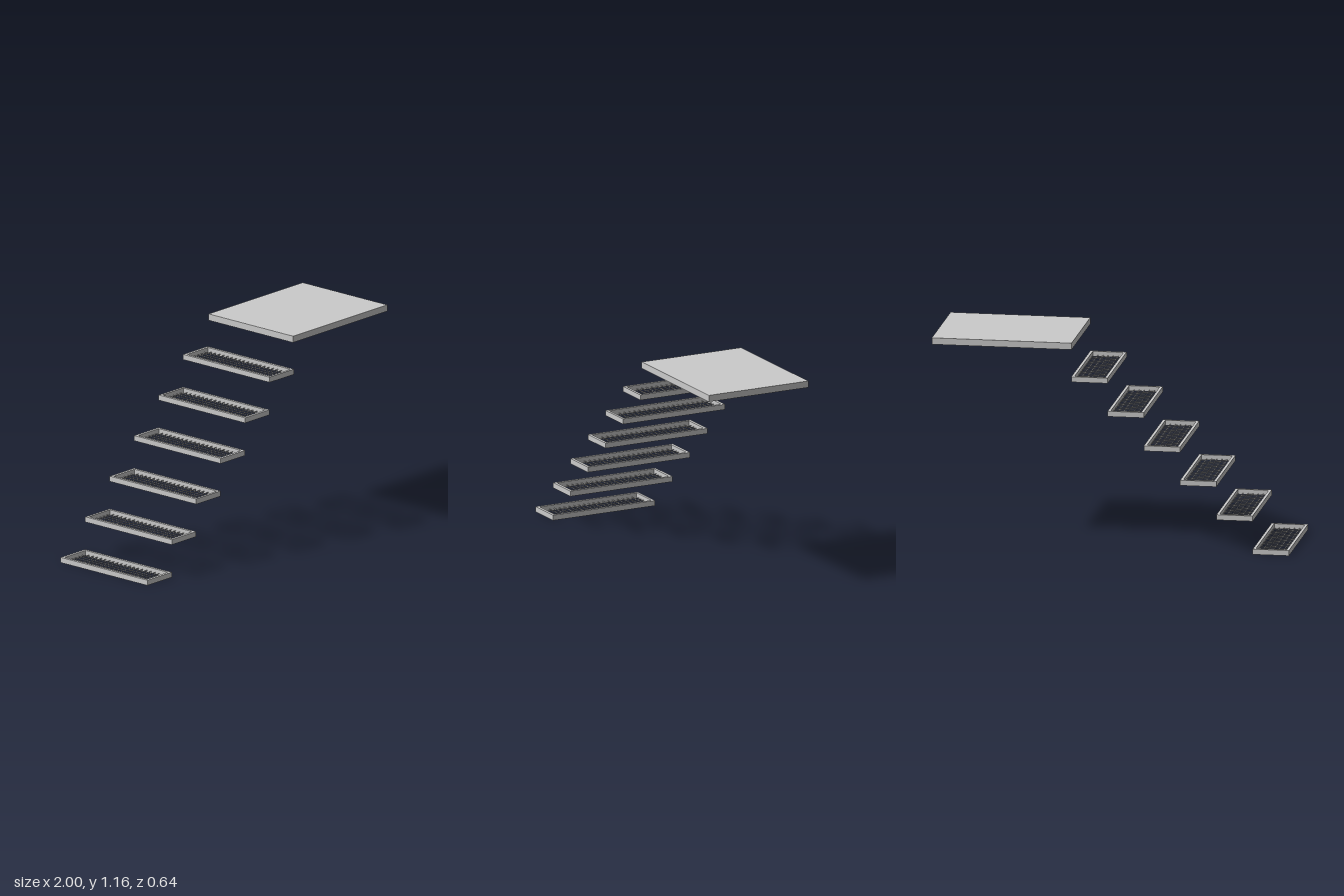
import * as THREE from 'three';

const STEPS = 6, RUN = 0.203, RISE = 0.1876;
const DEPTH = 0.64, HEIGHT = 0.03, RIM = 0.016, WIRE = 0.003;

const material = new THREE.MeshStandardMaterial({ color: 0xcccccc, flatShading: true });

function box(name, w, h, d, x, y, z) {
  const mesh = new THREE.Mesh(new THREE.BoxGeometry(w, h, d), material);
  mesh.name = name;
  mesh.position.set(x, y, z);
  return mesh;
}

// Rectangular frame with a wire grating set low inside it
function createTread() {
  const tread = new THREE.Group();

  const outline = new THREE.Shape();
  const hw = RUN / 2, hd = DEPTH / 2;
  outline.moveTo(-hw, -hd).lineTo(hw, -hd).lineTo(hw, hd).lineTo(-hw, hd).closePath();
  const iw = hw - RIM, id = hd - RIM;
  const hole = new THREE.Path();
  hole.moveTo(-iw, -id).lineTo(-iw, id).lineTo(iw, id).lineTo(iw, -id).closePath();
  outline.holes.push(hole);
  const geometry = new THREE.ExtrudeGeometry(outline, { depth: HEIGHT, bevelEnabled: false });
  geometry.rotateX(-Math.PI / 2);
  const frame = new THREE.Mesh(geometry, material);
  frame.name = 'treadFrame';
  tread.add(frame);

  // Grating wires: a few along the tread, many across it
  const grating = new THREE.Group();
  grating.name = 'grating';
  const along = 5, across = 19, y = 0.008;
  for (let i = 1; i <= along; i++) {
    const x = -iw + (2 * iw * i) / (along + 1);
    grating.add(box('longWire', WIRE, WIRE, 2 * id, x, y, 0));
  }
  for (let i = 1; i <= across; i++) {
    const z = -id + (2 * id * i) / (across + 1);
    grating.add(box('crossWire', 2 * iw, WIRE, WIRE, 0, y + WIRE / 2, z));
  }
  tread.add(grating);
  return tread;
}

export function createModel() {
  const model = new THREE.Group();
  model.name = 'floatingStairs';

  // Treads climbing towards +x
  for (let i = 0; i < STEPS; i++) {
    const tread = createTread();
    tread.name = 'tread' + (i + 1);
    tread.position.set(-1 + RUN * (i + 0.5), RISE * i, 0);
    model.add(tread);
  }

  // Solid landing at the top
  const start = -1 + RUN * STEPS;
  model.add(box('landing', 1 - start, 0.037, 0.624, (1 + start) / 2, 1.138, 0));
  return model;
}
